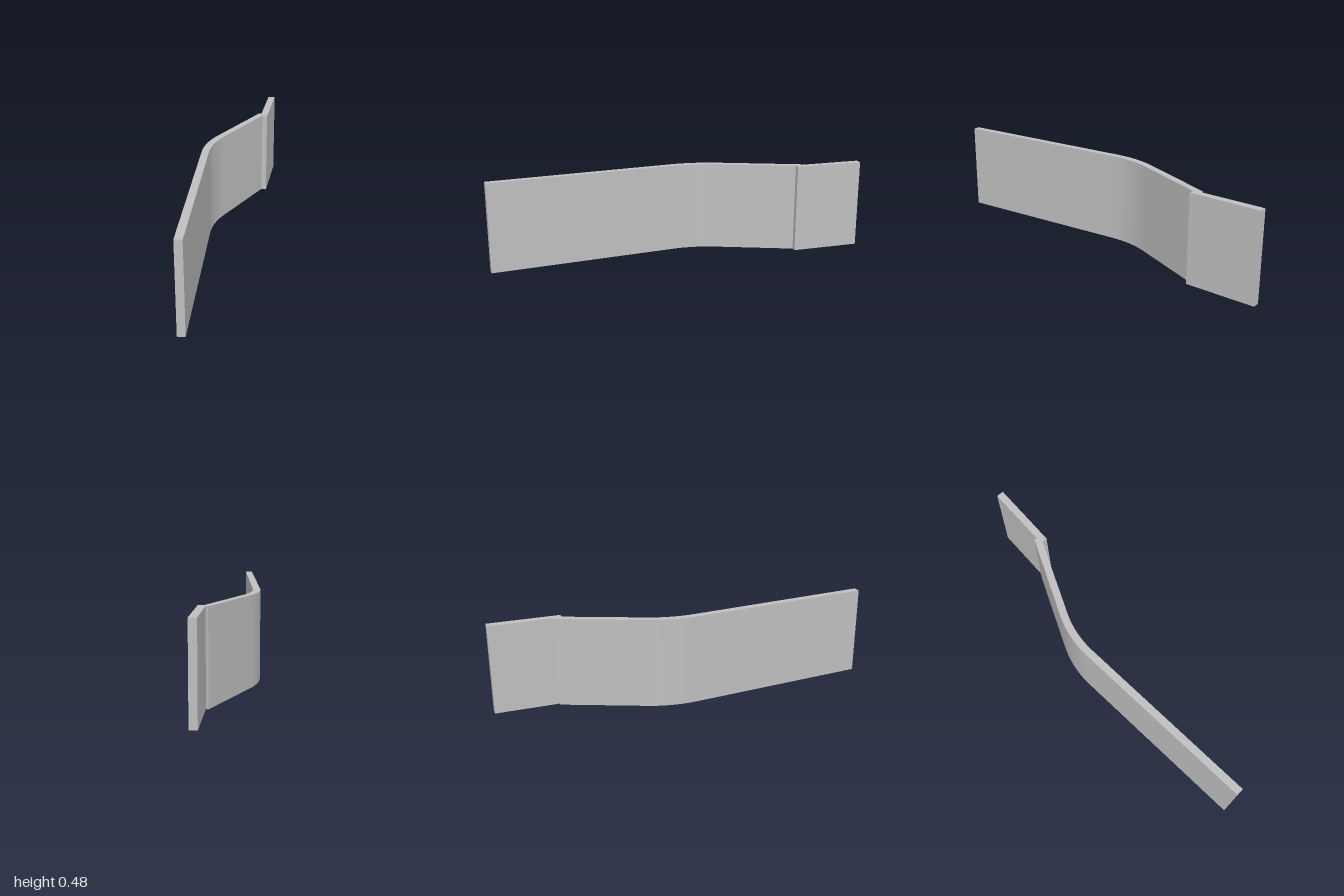
import * as THREE from 'three';
import { toCreasedNormals } from 'three/addons/utils/BufferGeometryUtils.js';

const HEIGHT = 0.477;
const BEND = 0.478; // bend angle in radians
const CENTRE = [0.384, 0.004]; // bend centre, as (x, -z)
const OUTER = 0.56, INNER = 0.521;

export function createModel() {
  const group = new THREE.Group();
  group.name = 'bentStrip';
  const metal = new THREE.MeshStandardMaterial({ color: 0xc0c0c0 });
  metal.name = 'light grey';

  // Plan outline as (x, -z): straight run, rounded bend, slanted run, stepped end tab
  const plan = new THREE.Shape();
  plan.moveTo(-0.176, -1);
  plan.lineTo(-0.137, -1);
  plan.absarc(...CENTRE, INNER, Math.PI, Math.PI - BEND, true);
  plan.lineTo(0.115, 0.625);
  plan.lineTo(0.143, 0.622); // step
  plan.lineTo(0.176, 0.997);
  plan.lineTo(0.137, 1);
  plan.lineTo(0.107, 0.658);
  plan.lineTo(0.095, 0.667); // tip of the slanted run
  plan.absarc(...CENTRE, OUTER, Math.PI - BEND, Math.PI, false);
  plan.closePath();

  // Raise the outline and smooth only the bend
  const solid = new THREE.ExtrudeGeometry(plan, { depth: HEIGHT, bevelEnabled: false, curveSegments: 16 });
  solid.rotateX(-Math.PI / 2);
  const strip = new THREE.Mesh(toCreasedNormals(solid, 0.15), metal);
  strip.name = 'steppedStrip';
  group.add(strip);
  return group;
}
